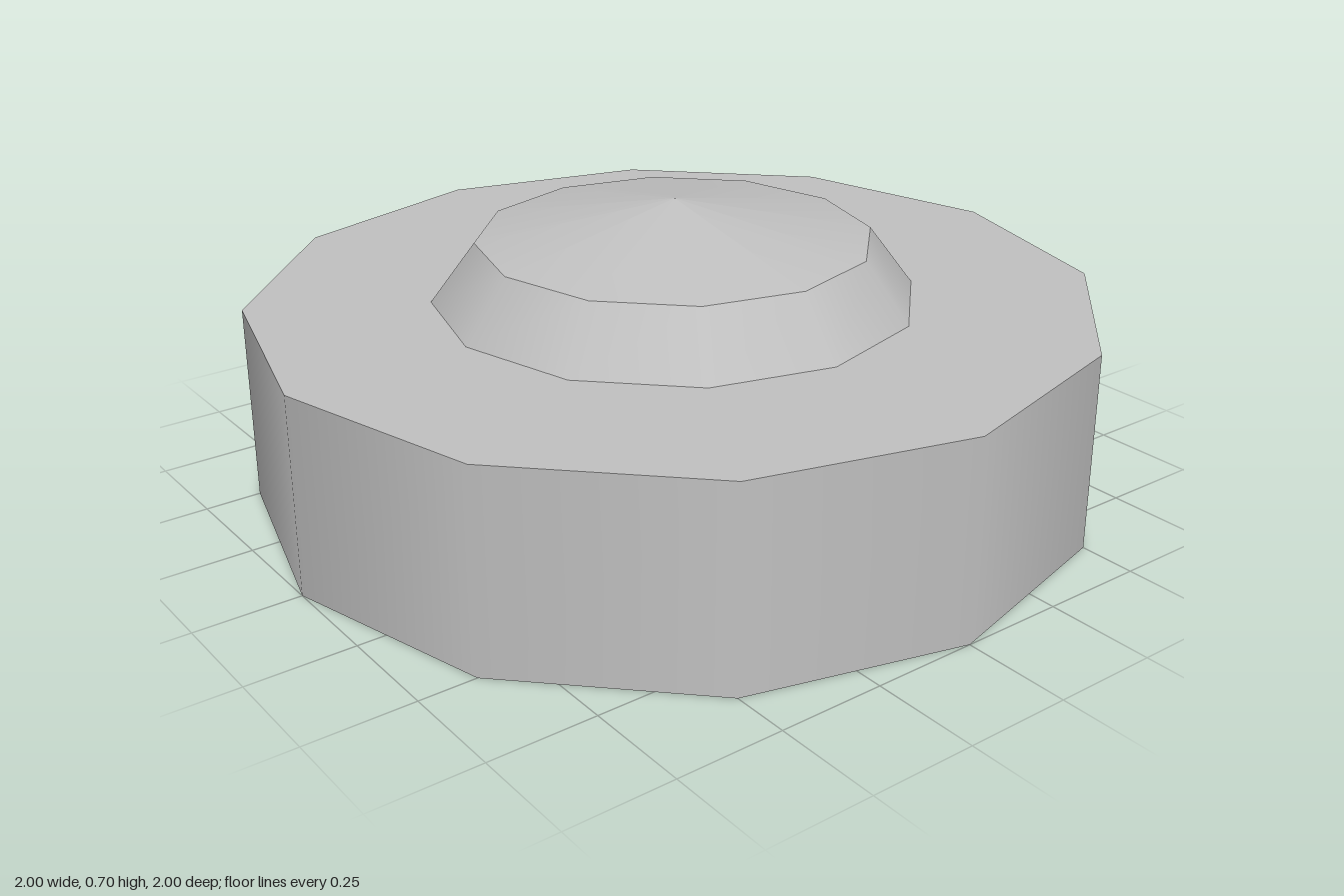
import * as THREE from 'three';

const SIDES = 12;
const WALL_TOP = 0.47, SHOULDER_TOP = 0.61, PEAK = 0.7;
const OUTER = 1, NECK = 0.57, CAP = 0.465;

export function createModel() {
  const group = new THREE.Group();
  group.name = 'domedCap';
  const grey = new THREE.MeshStandardMaterial({ color: 0xc0c0c0, side: THREE.DoubleSide });
  grey.name = 'light grey';

  const add = (name, geometry) => {
    const mesh = new THREE.Mesh(geometry, grey);
    mesh.name = name;
    group.add(mesh);
  };

  // Open twelve-sided band between two heights, smooth around and sharp at its rims
  const band = (rTop, rBottom, y0, y1) =>
    new THREE.CylinderGeometry(rTop, rBottom, y1 - y0, SIDES, 1, true).translate(0, (y0 + y1) / 2, 0);

  // Thin hollow shell, open underneath
  add('outerWall', band(OUTER, OUTER, 0, WALL_TOP));
  add('topRing', new THREE.RingGeometry(NECK, OUTER, SIDES).rotateX(-Math.PI / 2).translate(0, WALL_TOP, 0));
  add('shoulder', band(CAP, NECK, WALL_TOP, SHOULDER_TOP));
  add('peakedCap', band(0, CAP, SHOULDER_TOP, PEAK));

  return group;
}
